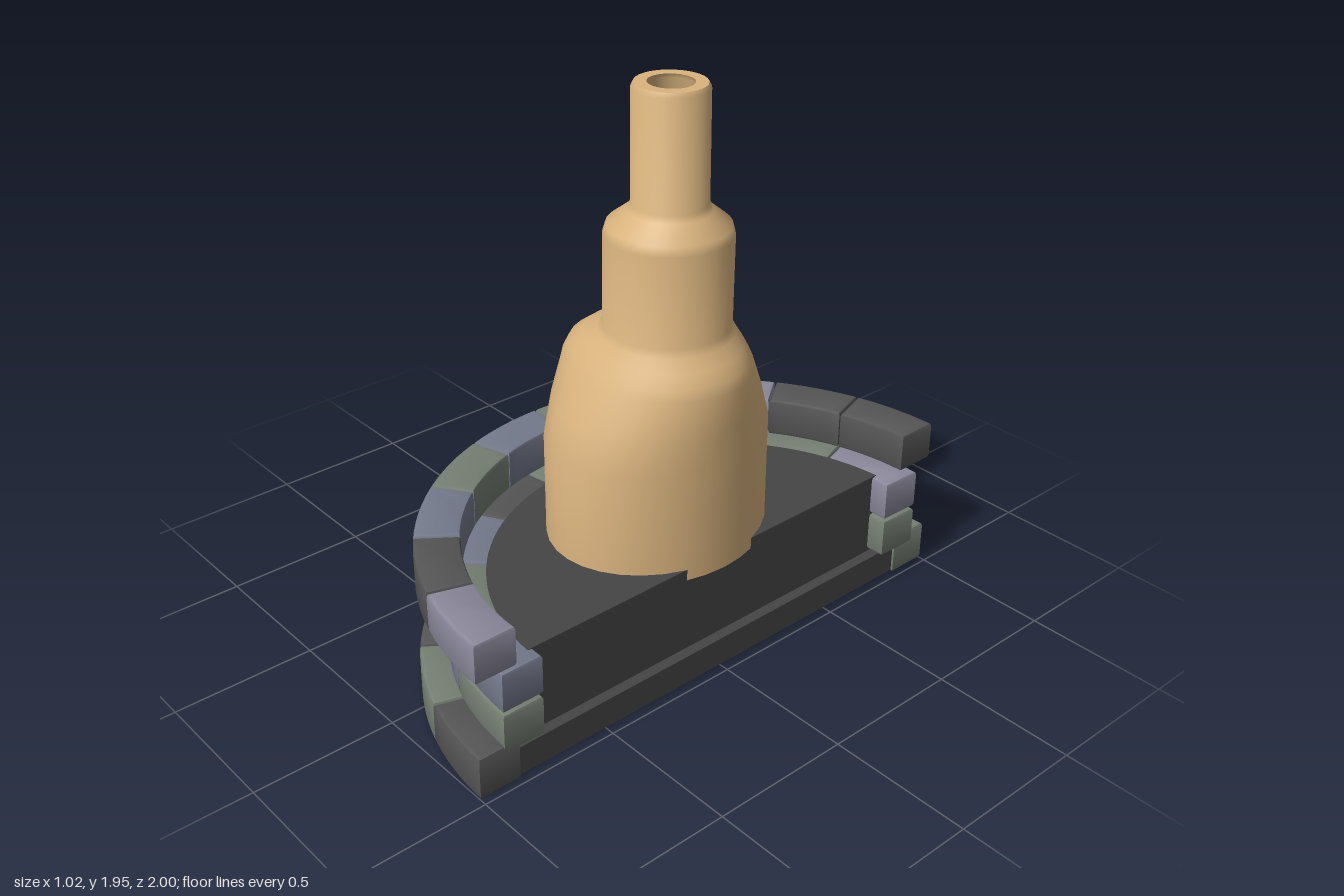
import * as THREE from 'three';
import { toCreasedNormals } from 'three/addons/utils/BufferGeometryUtils.js';

const CX = 0.48; // centre of the semicircular hearth
const paint = (color) => new THREE.MeshStandardMaterial({ color });
const STONE = {
  d: paint(0x555555), b: paint(0x757a8c), g: paint(0x767f74), l: paint(0x8a889a),
};

// Extrude a plan outline (x, -z) upward from y
function slab(shape, y, height, bevel, curveSegments) {
  const geo = new THREE.ExtrudeGeometry(shape, {
    depth: height - 2 * bevel, curveSegments, bevelEnabled: bevel > 0,
    bevelThickness: bevel, bevelSize: bevel, bevelOffset: -bevel, bevelSegments: 2,
  });
  geo.rotateX(-Math.PI / 2).translate(0, y + bevel, 0);
  return toCreasedNormals(geo, 0.6);
}

// One curved course of stones, from the back end round to the front end
function stoneCourse(name, colors, y, height, rIn, rOut, start, end) {
  const course = new THREE.Group();
  course.name = name;
  const step = (end - start) / colors.length;
  [...colors].forEach((key, i) => {
    const a = THREE.MathUtils.degToRad(start + i * step + 0.15);
    const b = THREE.MathUtils.degToRad(start + (i + 1) * step - 0.15);
    const shape = new THREE.Shape();
    shape.absarc(CX, 0, rOut, a, b, false);
    shape.absarc(CX, 0, rIn, b, a, true);
    const stone = new THREE.Mesh(slab(shape, y, height, 0.012, 3), STONE[key]);
    stone.name = 'stone';
    course.add(stone);
  });
  return course;
}

function halfDisc(name, xFlat, radius, y, height) {
  const shape = new THREE.Shape();
  const a = Math.acos((xFlat - CX) / radius);
  shape.absarc(CX, 0, radius, a, 2 * Math.PI - a, false);
  const mesh = new THREE.Mesh(slab(shape, y, height, 0, 40), paint(0x454545));
  mesh.name = name;
  return mesh;
}

// Hollow chimney: oval rings lofted up the outside and down the inside
function chimneyGeometry() {
  const FLOOR = 0.38, HALF = 0.17, T = 0.04;
  // y, x min, x max, z min, z max; the first ring follows the fire opening
  const outer = [
    [null, -0.21, 0.455, -0.41, 0.38],
    [0.78, -0.212, 0.455, -0.408, 0.38],
    [0.9, -0.214, 0.455, -0.365, 0.338],
    [1.02, -0.212, 0.455, -0.308, 0.28],
    [1.06, -0.195, 0.446, -0.286, 0.258],
    [1.1, -0.14, 0.42, -0.262, 0.232],
    [1.14, -0.065, 0.388, -0.234, 0.205],
    [1.165, -0.042, 0.374, -0.22, 0.192],
    [1.47, -0.04, 0.376, -0.22, 0.19],
    [1.5, -0.03, 0.368, -0.212, 0.183],
    [1.55, 0.035, 0.308, -0.15, 0.118],
    [1.57, 0.046, 0.294, -0.138, 0.105],
    [1.935, 0.046, 0.292, -0.136, 0.104],
    [1.95, 0.054, 0.284, -0.128, 0.096],
  ];
  const inner = outer.slice().reverse().map(([y, a, b, c, d]) =>
    [y, a + T, b - T, c + T, d - T]);
  const rings = [...outer, ...inner];

  // Columns of the loft; both jambs of the opening get a doubled column
  const edge = Math.asin(HALF / 0.395);
  const cols = [];
  for (let i = 0; i <= 8; i++) {
    const t = -1 + i / 4;
    cols.push([Math.PI + edge * t, 0.73 - 0.07 * Math.pow(Math.abs(t), 5)]);
  }
  const sweep = 2 * (Math.PI - edge);
  for (let i = 0; i <= 28; i++) cols.push([Math.PI + edge + sweep * i / 28, FLOOR]);

  const point = ([y, x0, x1, z0, z1], [angle, base]) => new THREE.Vector3(
    (x0 + x1) / 2 + (x1 - x0) / 2 * Math.cos(angle),
    y === null ? base : y,
    (z0 + z1) / 2 + (z1 - z0) / 2 * Math.sin(angle));

  const pos = [];
  const tri = (a, b, c) => {
    const area = b.clone().sub(a).cross(c.clone().sub(a)).length();
    if (area > 1e-8) pos.push(...a.toArray(), ...b.toArray(), ...c.toArray());
  };
  rings.forEach((ring, r) => {
    const next = rings[(r + 1) % rings.length];
    cols.forEach((col, c) => {
      const nextCol = cols[(c + 1) % cols.length];
      const a = point(ring, col), b = point(ring, nextCol);
      const d = point(next, col), e = point(next, nextCol);
      tri(a, d, b);
      tri(b, d, e);
    });
  });
  const geo = new THREE.BufferGeometry();
  geo.setAttribute('position', new THREE.Float32BufferAttribute(pos, 3));
  return toCreasedNormals(geo, 0.7);
}

export function createModel() {
  const model = new THREE.Group();
  model.name = 'fireplace';

  // Dark hearth in two steps
  model.add(halfDisc('hearthBase', 0.47, 0.87, 0.008, 0.104));
  model.add(halfDisc('hearthTop', 0.432, 0.775, 0.1, 0.32));

  // Stone courses: the middle two are set back
  model.add(stoneCourse('bottomCourse', 'gbbdblddgd', 0, 0.152, 0.85, 1, 90, 270));
  model.add(stoneCourse('lowerMiddleCourse', 'gdbbdbbbg', 0.122, 0.144, 0.755, 0.905, 88.3, 270));
  model.add(stoneCourse('upperMiddleCourse', 'lgbggdbgb', 0.274, 0.144, 0.755, 0.905, 88.3, 270));
  model.add(stoneCourse('topCourse', 'ddlggbgbdl', 0.425, 0.143, 0.85, 1, 90, 270));

  // Clay chimney with the fire opening on its curved side
  const chimney = new THREE.Mesh(chimneyGeometry(), paint(0xdab47f));
  chimney.name = 'chimney';
  model.add(chimney);
  return model;
}
